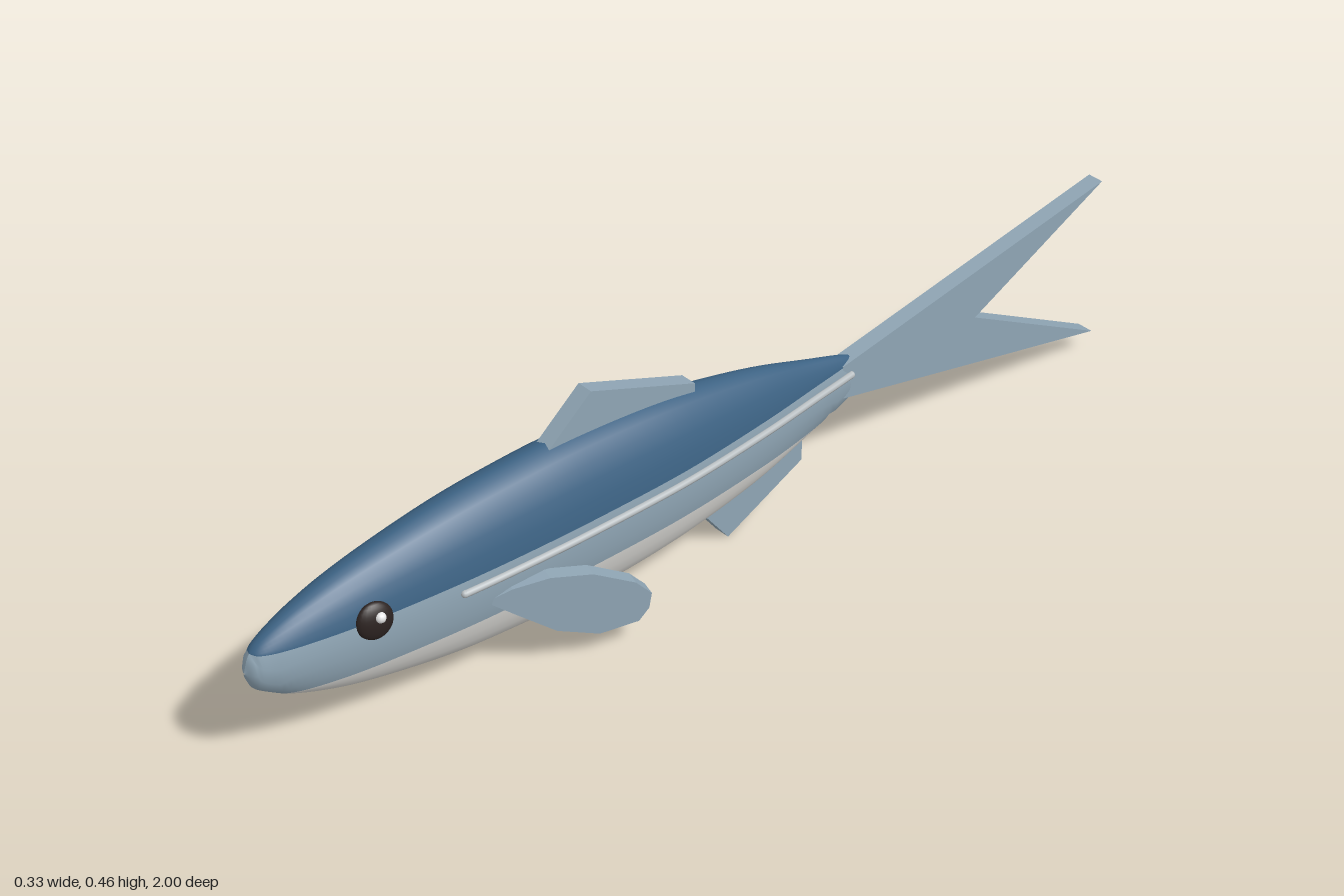
import * as THREE from 'three';

const paint = (name, color) => Object.assign(new THREE.MeshStandardMaterial({ color }), { name });

// Body stations from nose to tail: z, top y, bottom y, half width
const STATIONS = [
  [0.998, 0.214, 0.21, 0.002], [0.985, 0.247, 0.177, 0.022], [0.95, 0.273, 0.15, 0.036],
  [0.88, 0.303, 0.118, 0.051], [0.775, 0.333, 0.087, 0.066], [0.6, 0.364, 0.056, 0.08],
  [0.45, 0.378, 0.044, 0.085], [0.3, 0.382, 0.04, 0.085], [0.1, 0.369, 0.052, 0.078],
  [-0.1, 0.333, 0.084, 0.056], [-0.25, 0.291, 0.128, 0.033], [-0.365, 0.253, 0.168, 0.015],
  [-0.382, 0.214, 0.208, 0.002],
];
const spline = (f) => new THREE.CatmullRomCurve3(STATIONS.map(f), false, 'catmullrom', 0.5);
const outline = spline(([z, top, bottom]) => new THREE.Vector3(z, top, bottom));
const widths = spline(([z, , , w]) => new THREE.Vector3(z, w, 0));

function section(t) {
  const p = outline.getPoint(t);
  return { z: p.x, c: (p.y + p.z) / 2, h: Math.max((p.y - p.z) / 2, 0.001), w: Math.max(widths.getPoint(t).y, 0.001) };
}

// Lofted body with colour bands that change at fixed heights
function bodyGeometry() {
  const rows = 72, steps = [6, 4, 6], ring = 32;
  const pos = [], bands = [[], [], []];
  const bandOf = (j) => { const k = j < 16 ? j : 31 - j; return k < 6 ? 0 : k < 10 ? 1 : 2; };
  for (let i = 0; i <= rows; i++) {
    const { z, c, h, w } = section(i / rows);
    const angle = (y) => Math.asin(THREE.MathUtils.clamp((y - c) / h, -1, 1));
    const marks = [-Math.PI / 2, angle(0.146), angle(0.247), Math.PI / 2];
    const side = [];
    steps.forEach((n, b) => {
      for (let k = 0; k < n; k++) side.push(THREE.MathUtils.lerp(marks[b], marks[b + 1], k / n));
    });
    side.push(Math.PI / 2);
    for (let j = 0; j < ring; j++) {
      const a = side[j <= 16 ? j : 32 - j];
      pos.push((j <= 16 ? 1 : -1) * w * Math.cos(a), c + h * Math.sin(a), z);
    }
  }
  for (let i = 0; i < rows; i++) for (let j = 0; j < ring; j++) {
    const a = i * ring + j, b = i * ring + (j + 1) % ring;
    bands[bandOf(j)].push(a, a + ring, b, b, a + ring, b + ring);
  }
  const geo = new THREE.BufferGeometry();
  geo.setAttribute('position', new THREE.Float32BufferAttribute(pos, 3));
  geo.setIndex(bands.flat());
  let start = 0;
  bands.forEach((list, m) => { geo.addGroup(start, list.length, m); start += list.length; });
  geo.computeVertexNormals();
  return geo;
}

// Flat plate from a side outline of [z, y] points, centred on x = 0
function plate(points, thickness) {
  const shape = new THREE.Shape(points.map(([z, y]) => new THREE.Vector2(z, y)));
  return new THREE.ExtrudeGeometry(shape, { depth: thickness, bevelEnabled: false })
    .translate(0, 0, -thickness / 2).rotateY(-Math.PI / 2);
}

export function createModel() {
  const back = paint('back blue', 0x3c6283);
  const flank = paint('flank and fin grey blue', 0x8fa5b4);
  const belly = paint('belly white', 0xdad9d5);
  const silver = paint('lateral line silver', 0xb9bfc2);
  const dark = paint('eye dark', 0x2b2220);
  const white = paint('eye highlight', 0xffffff);

  const model = new THREE.Group();
  model.name = 'fish';
  const add = (name, geo, mat) => {
    const mesh = new THREE.Mesh(geo, mat);
    mesh.name = name;
    model.add(mesh);
    return mesh;
  };

  add('body', bodyGeometry(), [belly, flank, back]);

  // Fins on the centre line
  add('tailFin', plate([[-0.33, 0.25], [-1, 0.385], [-0.67, 0.215], [-1, 0.045], [-0.33, 0.18]], 0.034), flank);
  add('dorsalFin', plate([[0.37, 0.37], [0.265, 0.458], [0.03, 0.372], [0.03, 0.335]], 0.034), flank);
  add('analFin', plate([[0.02, 0.09], [-0.05, 0], [-0.23, 0.09], [-0.23, 0.15]], 0.034), flank);

  // Pectoral outline, measured from its hinge at z = 0.55
  const pectoral = plate([[0, 0.183], [-0.05, 0.195], [-0.12, 0.197], [-0.2, 0.18], [-0.28, 0.137], [-0.31, 0.105],
    [-0.305, 0.075], [-0.285, 0.052], [-0.21, 0.048], [-0.13, 0.08], [-0.06, 0.135]], 0.03);

  // Lateral line follows the flank surface
  const linePath = (s) => new THREE.CatmullRomCurve3(Array.from({ length: 15 }, (_, i) => {
    const { z, c, h, w } = section(THREE.MathUtils.lerp(5, 10.8, i / 14) / 12);
    return new THREE.Vector3(s * (w * Math.sqrt(1 - ((0.226 - c) / h) ** 2) + 0.002), 0.226, z);
  }));

  for (const s of [1, -1]) {
    const side = s > 0 ? 'left' : 'right';
    const fin = add(side + 'PectoralFin', pectoral, flank);
    fin.position.set(s * 0.063, 0, 0.55);
    fin.rotation.y = -s * 0.28;

    const path = linePath(s);
    add(side + 'LateralLine', new THREE.TubeGeometry(path, 48, 0.007, 8), silver);
    for (const t of [0, 1]) {
      const cap = add(side + 'LineEnd', new THREE.SphereGeometry(0.007, 10, 8), silver);
      cap.position.copy(path.getPoint(t));
    }

    const eye = add(side + 'Eye', new THREE.SphereGeometry(0.035, 20, 14), dark);
    eye.scale.x = 0.4;
    eye.position.set(s * 0.063, 0.247, 0.775);
    eye.rotation.set(0, -s * 0.15, s * 0.15);

    const glint = add(side + 'EyeHighlight', new THREE.SphereGeometry(0.01, 12, 8), white);
    glint.position.set(s * 0.074, 0.257, 0.77);
  }
  return model;
}
